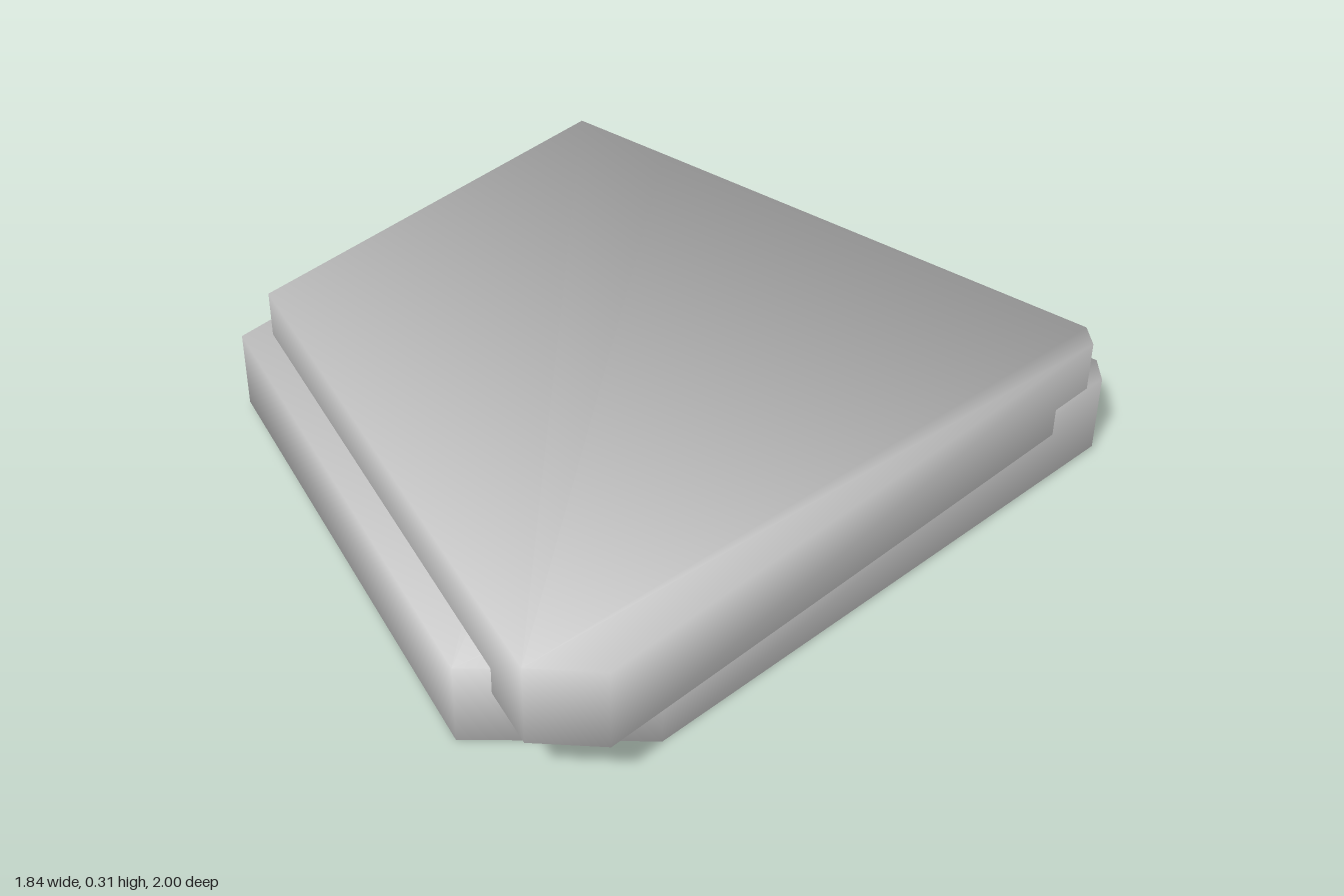
import * as THREE from 'three';

// Corner points [x, z], clockwise seen from above, first one is the fan centre
const UPPER = [[0.3, 1], [-0.86, 0.16], [-0.63, -0.93], [-0.35, -0.865], [0.86, -0.58], [0.895, -0.52], [0.45, 0.935]];
const LOWER = [[0.11, 0.945], [-0.92, 0.2], [-0.67, -1], [-0.38, -0.933], [0.88, -0.64], [0.915, -0.57], [0.47, 0.76]];

// Soft-shaded slab: top and bottom rims share their normals with the side walls
function slab(points, bottomAt, height) {
  const n = points.length, pos = [], nor = [], idx = [];
  const outward = (a, b) => new THREE.Vector3(b[1] - a[1], 0, a[0] - b[0]).normalize();
  for (const up of [1, -1]) {
    points.forEach((p, i) => {
      const before = points[(i + n - 1) % n], after = points[(i + 1) % n];
      const normal = outward(before, p).add(outward(p, after));
      normal.y = up;
      normal.normalize();
      pos.push(p[0], bottomAt(p[0], p[1]) + (up > 0 ? height : 0), p[1]);
      nor.push(normal.x, normal.y, normal.z);
    });
  }
  for (let i = 0; i < n; i++) {
    const j = (i + 1) % n;
    idx.push(i, j, n + j, i, n + j, n + i); // wall
    if (i > 0 && j > 0) idx.push(0, j, i, n, n + i, n + j); // caps
  }
  const g = new THREE.BufferGeometry();
  g.setAttribute('position', new THREE.Float32BufferAttribute(pos, 3));
  g.setAttribute('normal', new THREE.Float32BufferAttribute(nor, 3));
  g.setIndex(idx);
  return g;
}

export function createModel() {
  const group = new THREE.Group();
  group.name = 'stackedSlabs';
  const stone = new THREE.MeshStandardMaterial({ color: 0xcccccc });
  stone.name = 'pale grey';

  // Lower slab leans very slightly, the upper one lies level and sinks into it
  const lower = new THREE.Mesh(slab(LOWER, (x, z) => 0.008 - 0.007 * (x + z), 0.187), stone);
  lower.name = 'lowerSlab';
  const upper = new THREE.Mesh(slab(UPPER, () => 0.125, 0.187), stone);
  upper.name = 'upperSlab';

  group.add(lower, upper);
  return group;
}
